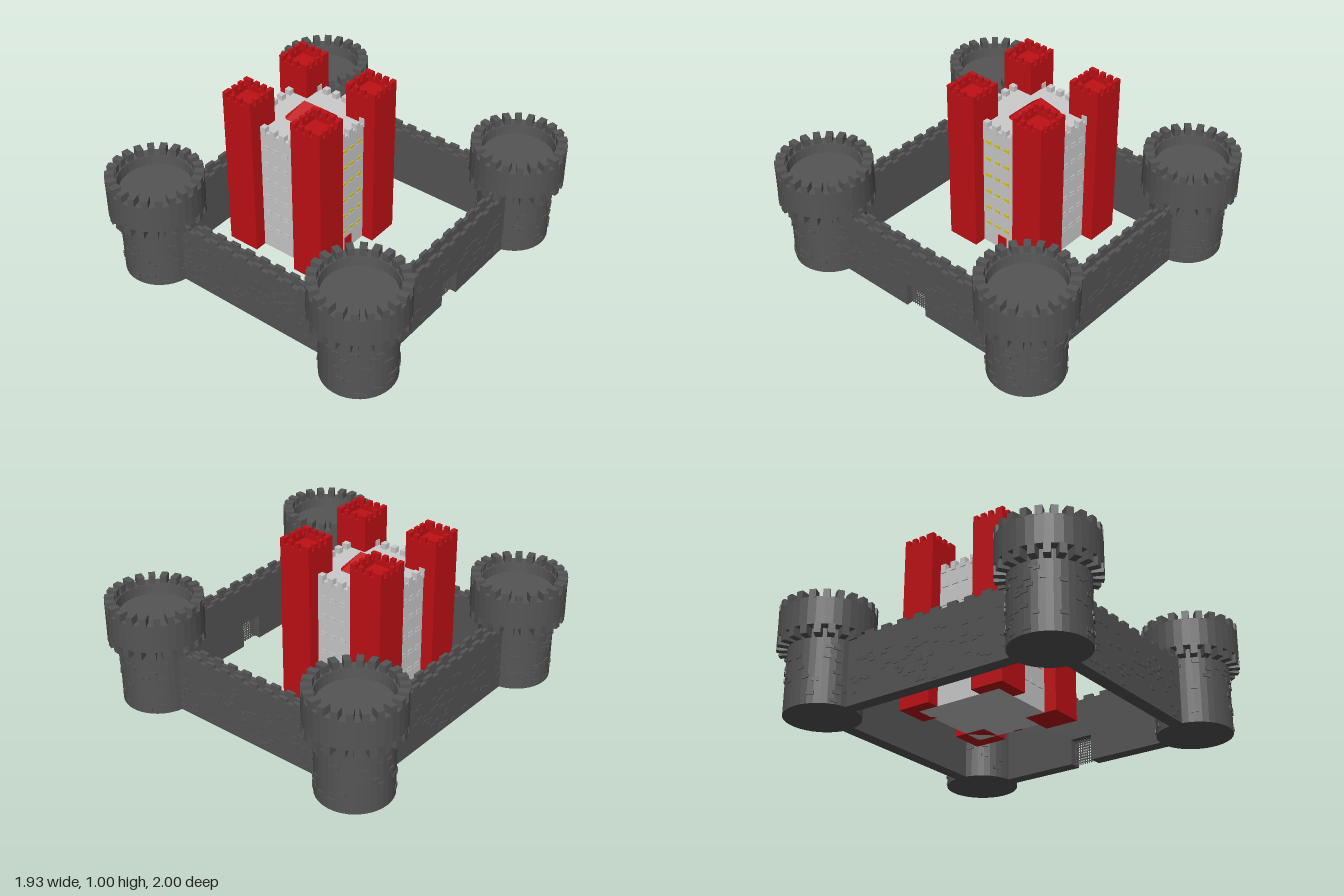
import * as THREE from 'three';
import { mergeGeometries } from 'three/addons/utils/BufferGeometryUtils.js';

const mat = (color) => new THREE.MeshStandardMaterial({ color, flatShading: true });
const STONE = mat(0x555555), PALE = mat(0xcccccc), RED = mat(0xc01015), YELLOW = mat(0xd8c820);

// small seeded generator for the scattered stones
let seed = 7;
const rand = () => (seed = (seed * 16807) % 2147483647) / 2147483647;

const box = (w, h, d, x, y, z) => new THREE.BoxGeometry(w, h, d).translate(x, y, z);

function add(parent, name, geometry, material) {
  const mesh = new THREE.Mesh(Array.isArray(geometry) ? mergeGeometries(geometry) : geometry, material);
  mesh.name = name;
  parent.add(mesh);
  return mesh;
}

function group(parent, name, x = 0, y = 0, z = 0, turn = 0) {
  const g = new THREE.Group();
  g.name = name;
  g.position.set(x, y, z);
  g.rotation.y = turn;
  parent.add(g);
  return g;
}

// ring of blocks between two radii
function blockRing(count, r0, r1, y0, y1, phase) {
  const blocks = [];
  for (let i = 0; i < count; i++) {
    blocks.push(box(0.038, y1 - y0, r1 - r0, 0, (y0 + y1) / 2, (r0 + r1) / 2)
      .rotateY(((i + phase) / count) * Math.PI * 2));
  }
  return blocks;
}

// merlons around a square, alternating all the way round
function squareMerlons(half, perSide, y0, y1, thick, duty = 0.55) {
  const blocks = [];
  const pitch = (2 * half) / perSide;
  for (let side = 0; side < 4; side++) {
    for (let i = 0; i < perSide; i++) {
      blocks.push(box(pitch * duty, y1 - y0, thick, -half + pitch * (i + duty / 2), (y0 + y1) / 2, half - thick / 2)
        .rotateY(side * Math.PI / 2));
    }
  }
  return blocks;
}

function cornerTower(parent, x, z) {
  const g = group(parent, 'cornerTower', x, 0, z);
  const profile = [[0, 0], [0.21, 0], [0.21, 0.425], [0.268, 0.425], [0.268, 0.585],
    [0.207, 0.585], [0.2, 0.53], [0, 0.53]].map(([r, y]) => new THREE.Vector2(r, y));
  add(g, 'towerBody', new THREE.LatheGeometry(profile, 36), STONE);
  add(g, 'towerMerlons', blockRing(22, 0.212, 0.268, 0.58, 0.63, 0), STONE);
  add(g, 'towerCorbels', blockRing(22, 0.2, 0.268, 0.375, 0.43, 0.5), STONE);
  const stones = [];
  for (let i = 0; i < 60; i++) {
    stones.push(box(0.03 + rand() * 0.015, 0.02, 0.012, 0, 0.02 + rand() * 0.34, 0.209)
      .rotateY(rand() * Math.PI * 2));
  }
  add(g, 'towerStones', stones, STONE);
}

// wall along local x with its outer face at +z
function curtainWall(parent, name, length, top, x, z, turn, gated) {
  const g = group(parent, name, x, 0, z, turn);
  const t = 0.078, h = length / 2, walk = 0.325;
  const shape = new THREE.Shape();
  shape.moveTo(-h, 0);
  if (gated) {
    shape.lineTo(-0.068, 0);
    shape.lineTo(-0.068, 0.15);
    shape.lineTo(0.068, 0.15);
    shape.lineTo(0.068, 0);
  }
  shape.lineTo(h, 0);
  shape.lineTo(h, walk);
  shape.lineTo(-h, walk);
  const body = new THREE.ExtrudeGeometry(shape, { depth: t, bevelEnabled: false }).translate(0, 0, -t / 2);
  add(g, 'wallBody', body, STONE);

  // parapets on both edges of the walk
  const parapet = [], base = top - 0.022, n = 10, pitch = length / n;
  for (const s of [-1, 1]) {
    const pz = s * (t / 2 - 0.01);
    parapet.push(box(length, base - walk, 0.02, 0, (base + walk) / 2, pz));
    for (let i = 0; i < n; i++) {
      parapet.push(box(pitch * 0.55, 0.022, 0.02, -h + pitch * (i + 0.5), top - 0.011, pz));
    }
  }
  add(g, 'wallParapet', parapet, STONE);

  // raised stones on the outer face
  const stones = [];
  for (let i = 0; i < 60; i++) {
    const sx = (rand() - 0.5) * (length - 0.06), sy = 0.02 + rand() * 0.28;
    if (gated && Math.abs(sx) < 0.1 && sy < 0.17) continue;
    stones.push(box(0.035, 0.018, 0.008, sx, sy, t / 2));
  }
  add(g, 'wallStones', stones, STONE);

  // open lattice in the gateway
  if (gated) {
    const bars = [];
    for (let i = 0; i < 9; i++) {
      bars.push(box(0.005, 0.15, 0.005, -0.06 + i * 0.015, 0.075, 0));
      bars.push(box(0.136, 0.005, 0.005, 0, 0.012 + i * 0.016, 0));
    }
    add(g, 'gateLattice', bars, STONE);
  }
}

// square tower with a sunken, crenellated top
function keepTower(parent, x, z) {
  const g = group(parent, 'keepTower', x, 0, z);
  const w = 0.0975, t = 0.024;
  const parts = [box(2 * w, 0.94, 2 * w, 0, 0.47, 0)];
  for (let i = 0; i < 4; i++) {
    parts.push(box(2 * w, 0.03, t, 0, 0.953, w - t / 2).rotateY(i * Math.PI / 2));
  }
  add(g, 'keepTowerBody', parts, RED);
  add(g, 'keepTowerMerlons', squareMerlons(w, 4, 0.965, 1, t), RED);
}

// hipped roof with clipped corners and a short ridge
function hipRoof() {
  const c = 0.025, a = 0.133, b = 0.118, y0 = 0.775, y1 = 0.88, r = 0.05;
  const ring = [[a, b - c], [a - c, b], [c - a, b], [-a, b - c], [-a, c - b], [c - a, -b], [a - c, -b], [a, c - b]];
  const ridge = (i) => [(ring[i % 8][0] > 0 ? r : -r), y1, 0];
  const pos = [];
  for (let i = 0; i < 8; i++) {
    const [px, pz] = ring[i], [qx, qz] = ring[(i + 1) % 8];
    const P = [px, y0, pz], Q = [qx, y0, qz], A = ridge(i), B = ridge(i + 1);
    pos.push(...Q, ...P, ...A);
    if (A[0] !== B[0]) pos.push(...Q, ...A, ...B);
  }
  const g = new THREE.BufferGeometry();
  g.setAttribute('position', new THREE.Float32BufferAttribute(pos, 3));
  g.computeVertexNormals();
  return g;
}

function keep(parent) {
  const g = group(parent, 'keep', -0.203, 0, 0);
  const half = 0.26;
  add(g, 'keepBody', box(2 * half, 0.79, 2 * half, 0, 0.395, 0), PALE);
  add(g, 'keepMerlons', squareMerlons(half + 0.006, 8, 0.77, 0.822, 0.035, 0.5), PALE);
  const roof = add(g, 'keepRoof', hipRoof(), RED);
  roof.material = RED.clone();
  roof.material.side = THREE.DoubleSide;
  roof.position.z = -0.01;

  // rows of windows on each face, lit ones toward the gate
  for (let side = 0; side < 4; side++) {
    const face = group(g, 'windowFace', 0, 0, 0, side * Math.PI / 2);
    const panes = [], sills = [];
    for (let row = 0; row < 6; row++) {
      for (let col = 0; col < 4; col++) {
        const x = -0.098 + col * 0.065, y = 0.14 + row * 0.111;
        panes.push(box(0.034, 0.02, 0.008, x, y, half));
        sills.push(box(0.04, 0.004, 0.012, x, y - 0.012, half));
      }
    }
    add(face, 'windows', panes, side === 1 ? YELLOW : PALE);
    add(face, 'windowSills', sills, PALE);
    if (side === 1) add(face, 'keepDoor', box(0.06, 0.09, 0.012, 0, 0.045, half), RED);
  }
  for (const sx of [-1, 1]) for (const sz of [-1, 1]) keepTower(g, sx * 0.235, sz * 0.235);
}

export function createModel() {
  seed = 7;
  const castle = new THREE.Group();
  castle.name = 'castle';
  for (const sx of [-1, 1]) for (const sz of [-1, 1]) cornerTower(castle, sx * 0.695, sz * 0.73);
  curtainWall(castle, 'frontWall', 1.02, 0.385, 0, 0.727, 0, false);
  curtainWall(castle, 'backWall', 1.02, 0.385, 0, -0.733, Math.PI, false);
  curtainWall(castle, 'leftWall', 1.1, 0.405, 0.717, 0, Math.PI / 2, true);
  curtainWall(castle, 'rightWall', 1.1, 0.405, -0.698, 0, -Math.PI / 2, false);
  keep(castle);
  return castle;
}
